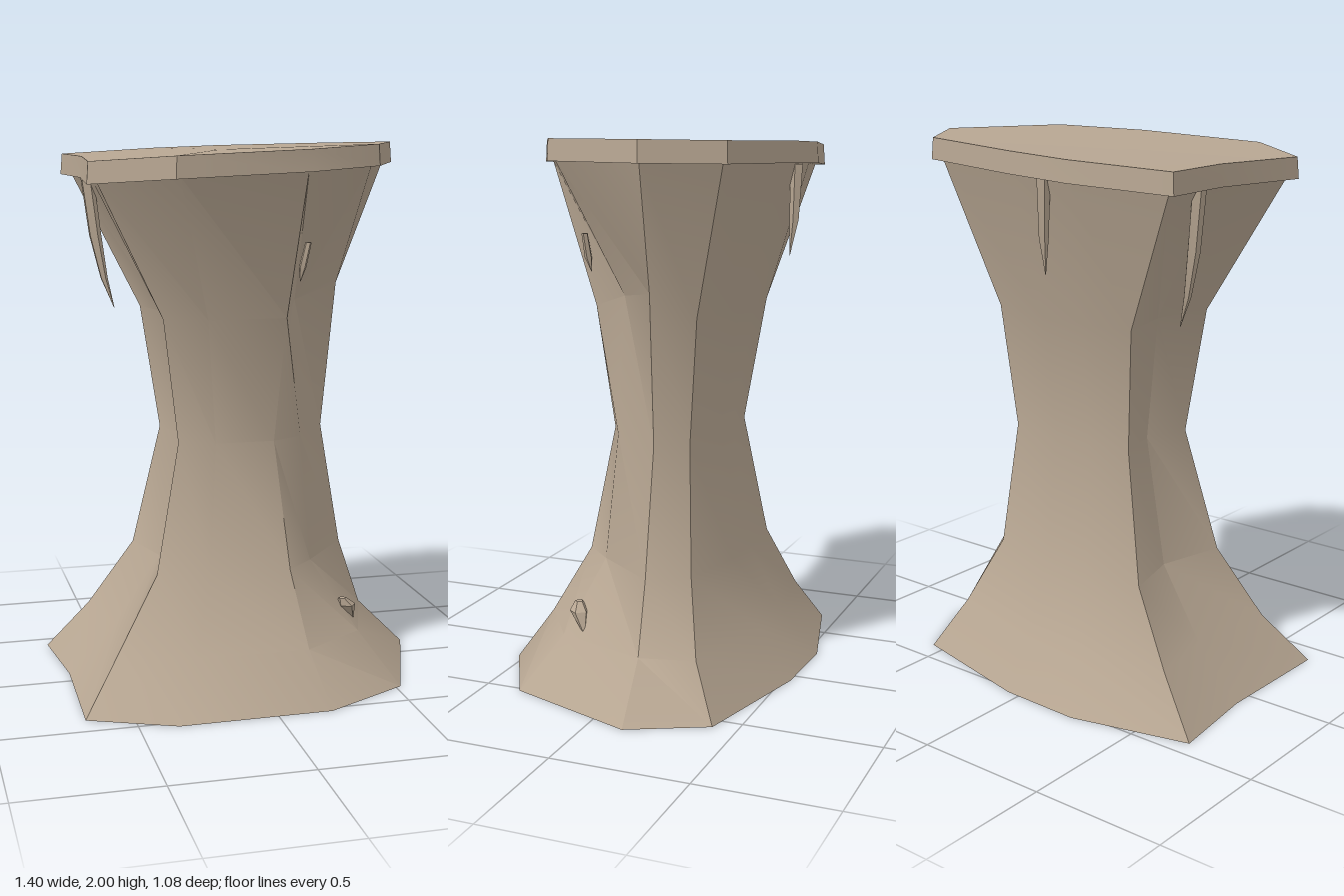
import * as THREE from 'three';
import { toCreasedNormals } from 'three/addons/utils/BufferGeometryUtils.js';

const stone = new THREE.MeshStandardMaterial({ color: 0xb7a692, side: THREE.DoubleSide });
stone.name = 'warm stone';

// Skin between rings of points (each ring runs clockwise seen from above), rings ordered upward
function loft(rings, { capTop = false, capBottom = false, crease = 0.5 } = {}) {
  const n = rings[0].length, pos = [];
  const tri = (...pts) => pts.forEach(p => pos.push(...p));
  for (let i = 0; i < rings.length - 1; i++) {
    for (let j = 0; j < n; j++) {
      const k = (j + 1) % n;
      const a = rings[i][j], b = rings[i][k], c = rings[i + 1][k], d = rings[i + 1][j];
      tri(a, d, c);
      tri(a, c, b);
    }
  }
  const cap = (ring, up) => {
    const mid = [0, 1, 2].map(q => ring.reduce((s, p) => s + p[q], 0) / n);
    ring.forEach((p, j) => {
      const next = ring[(j + 1) % n];
      if (up) tri(mid, next, p); else tri(mid, p, next);
    });
  };
  if (capTop) cap(rings[rings.length - 1], true);
  if (capBottom) cap(rings[0], false);
  const geo = new THREE.BufferGeometry();
  geo.setAttribute('position', new THREE.Float32BufferAttribute(pos, 3));
  return toCreasedNormals(geo, crease);
}

function part(name, geo) {
  const mesh = new THREE.Mesh(geo, stone);
  mesh.name = name;
  return mesh;
}

// Tapered stone splinter: path points from tip (lowest) to root, with a radius at each
function splinter(name, path, radii) {
  const rings = path.map(([x, y, z], i) => Array.from({ length: 5 }, (_, j) => {
    const t = j / 5 * Math.PI * 2;
    return [x + Math.cos(t) * radii[i], y, z + Math.sin(t) * radii[i]];
  }));
  return part(name, loft(rings, { capTop: true }));
}

// Outline of the slab: x, top height, z
const slabTop = [
  [-0.60, 1.955, -0.425], [-0.23, 1.975, -0.51], [0.03, 1.985, -0.50], [0.47, 1.995, -0.415],
  [0.63, 2.0, -0.165], [0.44, 1.995, 0.25], [0.15, 1.98, 0.40], [-0.34, 1.96, 0.465],
  [-0.61, 1.94, 0.295], [-0.57, 1.95, -0.12],
];

// Column sections: height, then x and z of ten corners
const foot = [[-0.70, -0.43], [-0.26, -0.54], [0.05, -0.53], [0.56, -0.41], [0.70, -0.13],
  [0.52, 0.36], [0.20, 0.53], [-0.36, 0.535], [-0.67, 0.40], [-0.66, -0.08]];
const flare = [[-0.54, -0.36], [-0.20, -0.41], [0.05, -0.41], [0.46, -0.31], [0.51, -0.11],
  [0.39, 0.24], [0.15, 0.40], [-0.27, 0.40], [-0.53, 0.28], [-0.48, -0.07]];
const ankle = [[-0.37, -0.29], [-0.13, -0.30], [0.06, -0.30], [0.33, -0.24], [0.42, -0.10],
  [0.23, 0.14], [0.12, 0.25], [-0.18, 0.25], [-0.37, 0.20], [-0.31, -0.06]];
const waist = [[-0.27, -0.225], [-0.10, -0.24], [0.05, -0.24], [0.27, -0.21], [0.34, -0.10],
  [0.20, 0.10], [0.08, 0.165], [-0.14, 0.165], [-0.27, 0.12], [-0.22, -0.05]];
const shoulder = [[-0.33, -0.29], [-0.13, -0.31], [0.05, -0.31], [0.31, -0.25], [0.40, -0.11],
  [0.18, 0.08], [0.11, 0.225], [-0.18, 0.225], [-0.33, 0.16], [-0.28, -0.07]];

export function createModel() {
  const model = new THREE.Group();
  model.name = 'stonePedestal';

  // Hollow waisted column, open underneath
  const level = (y, pts) => pts.map(([x, z]) => [x, y, z]);
  const neck = slabTop.map(([x, y, z]) => [x * 0.95, y - 0.07, z * 0.95]);
  const shoulderRing = level(1.38, shoulder);
  shoulderRing[4][1] = 1.47;
  shoulderRing[5][1] = 1.43;
  model.add(part('column', loft(
    [level(0, foot), level(0.19, flare), level(0.45, ankle), level(0.92, waist), shoulderRing, neck],
  )));

  // Tilted top slab with a slightly wider lower edge
  const slabBottom = slabTop.map(([x, y, z]) => [x * 1.01, y - 0.077, z * 1.01]);
  model.add(part('topSlab', loft([slabBottom, slabTop], { capTop: true, capBottom: true })));

  // Splinters hanging below the slab
  model.add(splinter('sideSplinter',
    [[-0.45, 1.39, -0.17], [-0.485, 1.5, -0.18], [-0.515, 1.66, -0.19], [-0.54, 1.87, -0.20]],
    [0.001, 0.014, 0.024, 0.026]));
  model.add(splinter('backSplinter',
    [[-0.09, 1.57, -0.455], [-0.095, 1.70, -0.47], [-0.10, 1.90, -0.475]],
    [0.001, 0.018, 0.025]));
  model.add(splinter('frontSplinter',
    [[0.16, 1.51, 0.22], [0.165, 1.56, 0.23], [0.185, 1.65, 0.235]],
    [0.001, 0.014, 0.012]));

  // Chip standing out of the foot
  model.add(splinter('footChip',
    [[0.40, 0.20, 0.15], [0.36, 0.28, 0.19], [0.34, 0.31, 0.20]],
    [0.001, 0.035, 0.015]));

  return model;
}
